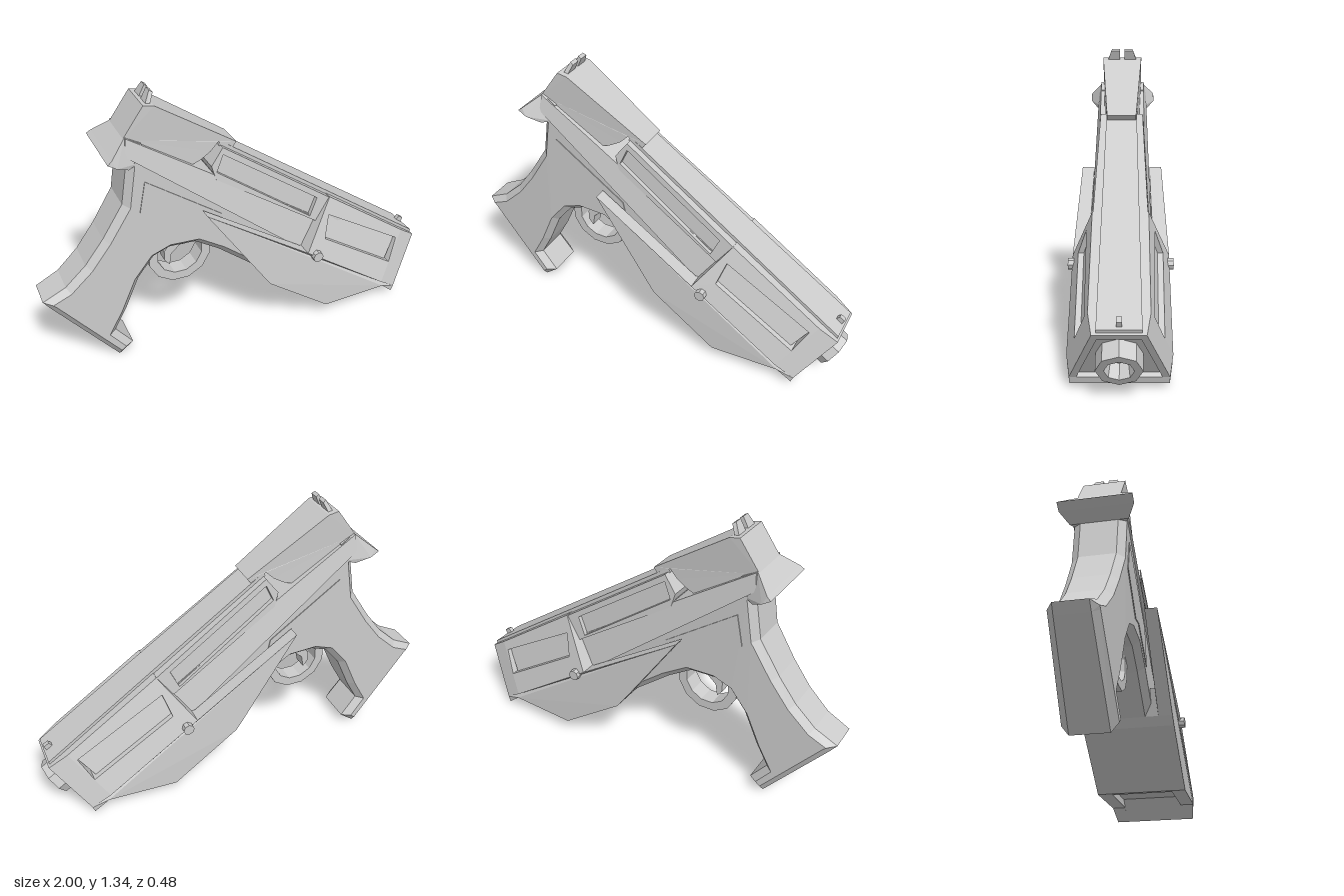
import * as THREE from 'three';

const mat = new THREE.MeshStandardMaterial({ color: 0xcccccc, flatShading: true, side: THREE.DoubleSide });

// The barrel axis is tilted down: u runs forward along it, v up across it
const AX = 0.825, AY = -0.565;
const along = (x, y) => AX * x + AY * y;
const across = (x, y) => -AY * x + AX * y;
const clamp = THREE.MathUtils.clamp;

const vecs = (pts) => pts.map(([x, y]) => new THREE.Vector2(x, y));

// Side outline extruded between two z surfaces lo(x, y) and hi(x, y)
function plate(name, pts, lo, hi, { hole, bevel = 0 } = {}) {
  const shape = new THREE.Shape(vecs(pts));
  if (hole) shape.holes.push(new THREE.Path(vecs(hole)));
  const t = bevel ? 0.14 : 0;
  const geo = new THREE.ExtrudeGeometry(shape, {
    depth: 1 - 2 * t, steps: 1, bevelEnabled: bevel > 0, bevelThickness: t,
    bevelSize: bevel, bevelOffset: -bevel, bevelSegments: 1,
  });
  const p = geo.attributes.position;
  for (let i = 0; i < p.count; i++) {
    const x = p.getX(i), y = p.getY(i), a = lo(x, y), b = hi(x, y);
    p.setZ(i, a + (p.getZ(i) + t) * (b - a));
  }
  geo.computeVertexNormals();
  const mesh = new THREE.Mesh(geo, mat);
  mesh.name = name;
  return mesh;
}

// Plate centred on z = 0 with half width w
const slab = (name, pts, w, opts) => plate(name, pts, (x, y) => -w(x, y), w, opts);

// Mirrored pair of plates between half widths a and b
const pair = (name, pts, a, b) => [
  plate(name + 'Left', pts, a, b),
  plate(name + 'Right', pts, (x, y) => -b(x, y), (x, y) => -a(x, y)),
];

const flat = (w) => () => w;
const less = (w, d) => (x, y) => w(x, y) - d;

export function createModel() {
  const g = new THREE.Group();
  g.name = 'pistol';

  // Grip and frame in one chamfered outline, with a thin side panel
  const frameW = (x) => clamp(0.1 + 0.045 * (x + 1), 0.1, 0.12);
  g.add(slab('gripAndFrame', [
    [-0.57, 1.08], [-0.57, 1.03], [-0.60, 0.84], [-0.70, 0.68], [-0.79, 0.56], [-0.89, 0.465],
    [-1.0, 0.41], [-0.97, 0.37], [-0.67, 0.005], [-0.60, 0.06], [-0.68, 0.16], [-0.62, 0.27],
    [-0.55, 0.43], [-0.47, 0.53], [-0.39, 0.56], [-0.26, 0.555], [-0.14, 0.48], [0.05, 0.33],
    [0.33, 0.42], [0.33, 0.48], [-0.20, 0.86], [-0.50, 1.08],
  ], frameW, { bevel: 0.03 }));
  g.add(slab('framePanel', [
    [-0.50, 0.95], [-0.53, 0.80], [-0.36, 0.64], [-0.29, 0.65], [-0.10, 0.52], [-0.14, 0.70],
  ], flat(0.124)));

  // Sloping shelf along the side
  g.add(slab('sideShelf', [[-0.58, 1.09], [0.28, 0.40], [0.40, 0.53], [-0.28, 0.98], [-0.57, 1.17]],
    (x, y) => 0.112 + (0.65 - across(x, y)) * 0.2));

  // Flared tail
  g.add(slab('rearFlare', [
    [-0.67, 1.09], [-0.63, 1.065], [-0.57, 1.03], [-0.52, 1.04], [-0.50, 1.13], [-0.57, 1.17], [-0.65, 1.105],
  ], (x, y) => Math.min(0.17, Math.max(0.11, 0.17 - (x + 0.63) * 0.6), 0.1 + Math.max(0, 1.165 - y) * 1.1)));

  // Raised rear block and its scooped front
  g.add(slab('rearBlock', [
    [-0.58, 1.16], [-0.57, 1.11], [-0.28, 0.96], [-0.22, 0.98], [-0.17, 1.01], [-0.13, 1.05],
    [-0.06, 1.005], [-0.04, 1.03], [-0.43, 1.29], [-0.48, 1.30],
  ], (x) => clamp(0.1 - 0.075 * (x + 0.45), 0.07, 0.1)));

  // Slide with a long recessed window
  const slideW = (x, y) => 0.103 + (0.785 - across(x, y)) * 0.1 + 0.03 * (x + 0.1);
  g.add(slab('slide', [[-0.12, 1.03], [-0.18, 0.95], [-0.16, 0.88], [0.40, 0.51], [0.55, 0.50], [0.55, 0.57]], slideW, {
    hole: [[-0.12, 0.995], [-0.155, 0.915], [0.33, 0.57], [0.37, 0.66]],
  }));
  g.add(slab('slideWindowFloor', [[-0.12, 1.01], [-0.17, 0.91], [0.34, 0.55], [0.42, 0.64]], less(slideW, 0.022)));
  g.add(slab('topRib', [[-0.13, 1.03], [-0.12, 1.05], [0.975, 0.30], [0.965, 0.27]], (x) => 0.075 + 0.015 * x));

  // Front shroud: sides slope outward, with a recessed window
  const nose = (x, y) => Math.max(0, along(x, y) - 0.542) * 0.15;
  const shroudW = (x, y) => Math.min(0.128 + (0.77 - across(x, y)) * 0.345, 0.22) - nose(x, y);
  g.add(slab('frontShroud', [[0.44, 0.65], [0.28, 0.418], [0.73, 0.11], [0.89, 0.34]], shroudW, {
    hole: [[0.425, 0.565], [0.39, 0.455], [0.79, 0.20], [0.85, 0.31]],
  }));
  g.add(slab('shroudWindowFloor', [[0.44, 0.60], [0.35, 0.44], [0.74, 0.16], [0.87, 0.33]], less(shroudW, 0.025)));

  // Nose with a sunken front face inside a rim
  g.add(...pair('noseCheek', [[0.89, 0.34], [0.73, 0.11], [0.82, 0.05], [0.98, 0.28]], less(shroudW, 0.03), shroudW));
  g.add(slab('noseFace', [[0.88, 0.33], [0.73, 0.11], [0.80, 0.062], [0.96, 0.29]], less(shroudW, 0.02)));
  g.add(slab('noseTop', [[0.89, 0.34], [0.875, 0.318], [0.965, 0.258], [0.98, 0.28]], shroudW));

  // Lower cover: outer cheeks and a middle part notched on the underside
  const coverW = (x, y) => 0.22 - nose(x, y) - 0.02 * clamp((0.1 - x) / 0.34, 0, 1);
  g.add(...pair('lowerCheek', [
    [-0.24, 0.75], [0.05, 0.33], [0.08, 0.29], [0.40, 0.065], [0.74, 0.08], [0.81, 0.02],
    [0.82, 0.05], [0.73, 0.11], [0.28, 0.418],
  ], (x) => 0.15 - 0.01 * clamp(-x * 5, 0, 1), coverW));
  g.add(slab('lowerCover', [
    [0.0, 0.45], [0.05, 0.33], [0.08, 0.29], [0.40, 0.065], [0.44, 0.07], [0.48, 0.105], [0.70, 0.115],
    [0.735, 0.085], [0.81, 0.02], [0.82, 0.05], [0.73, 0.11], [0.28, 0.418],
  ], flat(0.15)));

  // Octagonal hollow muzzle along the barrel axis
  const profile = vecs([[0, 0], [0.094, 0], [0.094, 0.16], [0.06, 0.16], [0.05, 0.09], [0, 0.09]]);
  const muzzle = new THREE.Mesh(new THREE.LatheGeometry(profile, 8), mat);
  muzzle.name = 'muzzle';
  muzzle.position.set(0.815, 0.215, 0);
  muzzle.quaternion.setFromUnitVectors(new THREE.Vector3(0, 1, 0), new THREE.Vector3(AX, AY, 0).normalize());
  g.add(muzzle);

  // Trigger guard ring and curved trigger
  const ring = (r) => Array.from({ length: 12 }, (_, i) => {
    const a = ((i + 0.5) / 12) * Math.PI * 2;
    return [-0.325 + r * Math.cos(a), 0.485 + r * Math.sin(a)];
  });
  g.add(slab('triggerGuard', ring(0.16), flat(0.045), { hole: ring(0.115) }));
  g.add(slab('trigger', [
    [-0.26, 0.57], [-0.36, 0.55], [-0.40, 0.50], [-0.40, 0.45], [-0.375, 0.42], [-0.365, 0.48], [-0.32, 0.52], [-0.25, 0.52],
  ], flat(0.035)));

  // Sights
  g.add(...pair('rearSight', [[-0.47, 1.28], [-0.435, 1.345], [-0.42, 1.335], [-0.45, 1.27]],
    flat(0.012), (x, y) => 0.08 - 0.5 * Math.max(0, y - 1.29)));
  g.add(slab('frontSight', [[0.92, 0.31], [0.95, 0.345], [0.975, 0.33], [0.95, 0.28]], flat(0.011)));

  // Cross pin
  const pin = new THREE.Mesh(new THREE.CylinderGeometry(0.027, 0.027, 0.476, 8), mat);
  pin.name = 'crossPin';
  pin.rotation.x = Math.PI / 2;
  pin.position.set(0.33, 0.39, 0);
  g.add(pin);

  return g;
}
